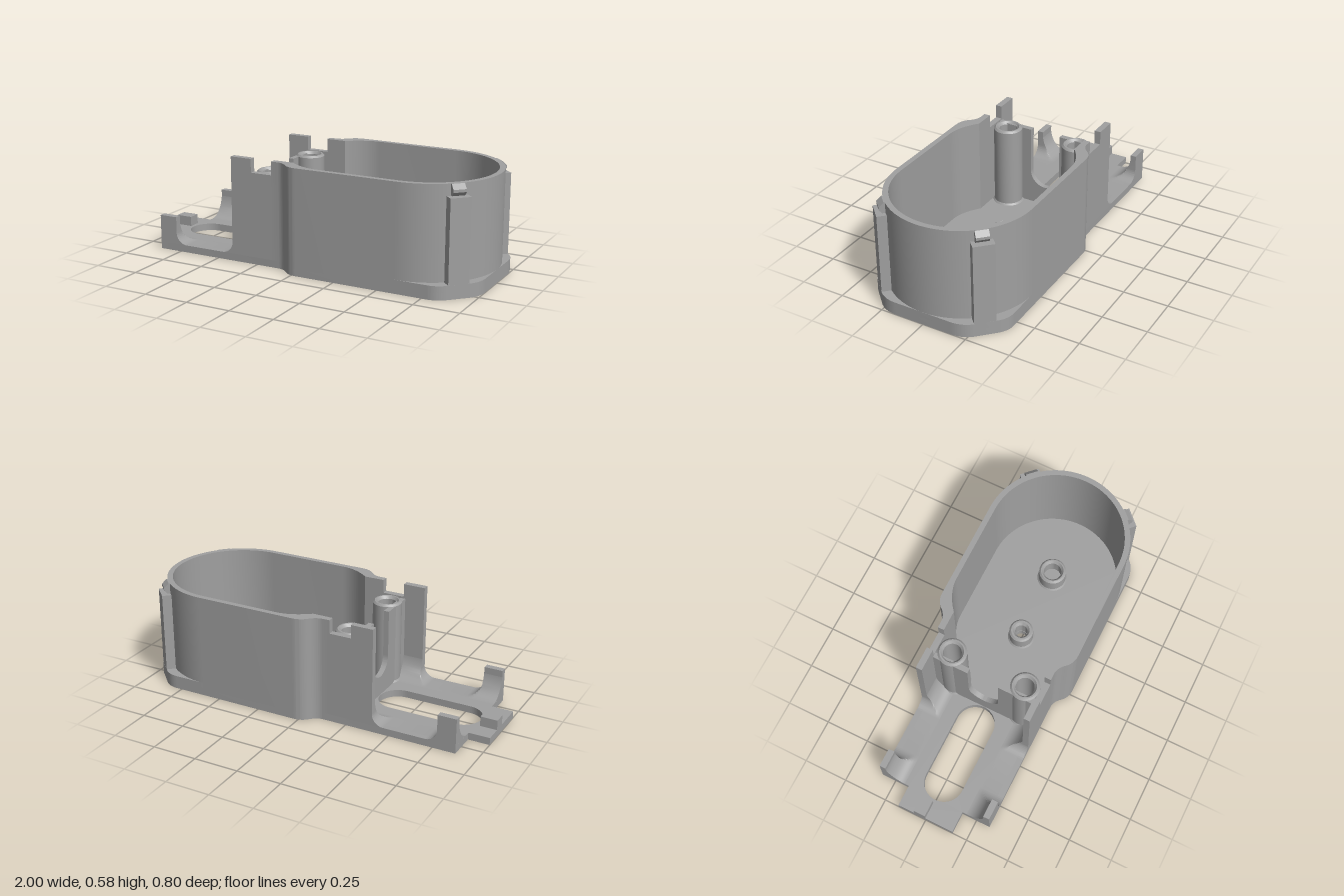
import * as THREE from 'three';
import { toCreasedNormals } from 'three/addons/utils/BufferGeometryUtils.js';

const FLOOR = 0.04, TOP = 0.585;

export function createModel() {
  const model = new THREE.Group();
  const grey = new THREE.MeshStandardMaterial({ color: 0xa0a0a0, side: THREE.DoubleSide });
  grey.name = 'plastic grey';

  const add = (name, geometry, parent = model) => {
    const mesh = new THREE.Mesh(toCreasedNormals(geometry, 0.5), grey);
    mesh.name = name;
    parent.add(mesh);
    return mesh;
  };
  const poly = (pts) => new THREE.Shape(pts.map(([x, y]) => new THREE.Vector2(x, y)));
  const extrude = (shape, depth) =>
    new THREE.ExtrudeGeometry(shape, { depth, bevelEnabled: false, curveSegments: 32 });
  // plan shape (x, z) raised from y0 to y1
  const plan = (shape, y0, y1) => extrude(shape, y1 - y0).rotateX(Math.PI / 2).translate(0, y1, 0);

  // floor plate with tab, oval opening and screw hole
  const base = new THREE.Shape();
  base.moveTo(-1, -0.165);
  for (const [x, z] of [[-0.88, -0.165], [-0.88, -0.33], [-0.12, -0.33]]) base.lineTo(x, z);
  base.quadraticCurveTo(-0.08, -0.33, -0.05, -0.365);
  base.quadraticCurveTo(-0.02, -0.4, 0.03, -0.4);
  base.lineTo(0.78, -0.4);
  base.quadraticCurveTo(0.834, -0.4, 0.874, -0.36);
  base.lineTo(0.954, -0.28);
  base.quadraticCurveTo(1, -0.234, 1, -0.16);
  base.lineTo(1, 0.16);
  base.quadraticCurveTo(1, 0.234, 0.954, 0.28);
  base.lineTo(0.874, 0.36);
  base.quadraticCurveTo(0.834, 0.4, 0.78, 0.4);
  base.lineTo(0.03, 0.4);
  base.quadraticCurveTo(-0.02, 0.4, -0.05, 0.365);
  base.quadraticCurveTo(-0.08, 0.33, -0.12, 0.33);
  for (const [x, z] of [[-0.88, 0.33], [-0.88, 0.165], [-1, 0.165]]) base.lineTo(x, z);
  const oval = new THREE.Path();
  oval.absarc(-0.775, 0, 0.11, Math.PI / 2, Math.PI * 1.5);
  oval.absarc(-0.403, 0, 0.11, -Math.PI / 2, Math.PI / 2);
  base.holes.push(oval, new THREE.Path().absarc(0.18, 0, 0.033, 0, Math.PI * 2));
  add('floor', plan(base, 0, FLOOR));

  // flange around the round end
  const flange = new THREE.Shape();
  flange.moveTo(0.6, -0.4);
  flange.lineTo(0.78, -0.4);
  flange.quadraticCurveTo(0.834, -0.4, 0.874, -0.36);
  flange.lineTo(0.954, -0.28);
  flange.quadraticCurveTo(1, -0.234, 1, -0.16);
  flange.lineTo(1, 0.16);
  flange.quadraticCurveTo(1, 0.234, 0.954, 0.28);
  flange.lineTo(0.874, 0.36);
  flange.quadraticCurveTo(0.834, 0.4, 0.78, 0.4);
  flange.lineTo(0.6, 0.4);
  flange.lineTo(0.6, 0.38);
  flange.absarc(0.6, 0, 0.38, Math.PI / 2, -Math.PI / 2, true);
  add('flange', plan(flange, FLOOR, 0.075));

  // tall curved housing wall, open to the left
  const wall = new THREE.Shape();
  wall.moveTo(-0.155, -0.33);
  wall.lineTo(-0.12, -0.33);
  wall.quadraticCurveTo(-0.08, -0.33, -0.05, -0.365);
  wall.quadraticCurveTo(-0.02, -0.4, 0.03, -0.4);
  wall.absarc(0.6, 0, 0.4, -Math.PI / 2, Math.PI / 2);
  wall.lineTo(0.03, 0.4);
  wall.quadraticCurveTo(-0.02, 0.4, -0.05, 0.365);
  wall.quadraticCurveTo(-0.08, 0.33, -0.12, 0.33);
  wall.lineTo(-0.155, 0.33);
  wall.lineTo(-0.155, 0.295);
  wall.lineTo(-0.04, 0.295);
  wall.quadraticCurveTo(0.05, 0.37, 0.14, 0.37);
  wall.absarc(0.6, 0, 0.37, Math.PI / 2, -Math.PI / 2, true);
  wall.lineTo(0.14, -0.37);
  wall.quadraticCurveTo(0.05, -0.37, -0.04, -0.295);
  wall.lineTo(-0.155, -0.295);
  add('housingWall', plan(wall, FLOOR, TOP));

  // cross wall with a U-shaped opening
  const cross = new THREE.Shape();
  cross.moveTo(-0.3, FLOOR);
  for (const [z, y] of [[0.3, FLOOR], [0.3, 0.5], [0.09, 0.5], [0.09, 0.24]]) cross.lineTo(z, y);
  cross.absarc(0, 0.24, 0.09, 0, -Math.PI, true);
  cross.lineTo(-0.09, 0.5);
  cross.lineTo(-0.3, 0.5);
  add('crossWall', extrude(cross, 0.03).rotateY(Math.PI / 2).translate(-0.29, 0, 0));

  // side plates: end post and notched wall
  const post = poly([[-0.71, FLOOR], [-0.88, FLOOR], [-0.88, 0.195], [-0.775, 0.195]]);
  post.lineTo(-0.775, 0.105);
  post.absarc(-0.71, 0.105, 0.065, Math.PI, Math.PI * 1.5);
  const notched = poly([[-0.155, FLOOR], [-0.155, 0.51], [-0.28, 0.51], [-0.28, TOP], [-0.405, TOP]]);
  notched.lineTo(-0.405, 0.105);
  notched.absarc(-0.47, 0.105, 0.065, 0, -Math.PI / 2, true);

  // cradle fillet: height is the lower of the hollow curve and the side cut-out
  const cradle = (side) => {
    const cols = [[-0.88, FLOOR], [-0.88, 1], [-0.775, 1]];
    for (let i = 0; i <= 8; i++) {
      const a = (i / 8) * Math.PI / 2;
      cols.push([-0.71 - 0.065 * Math.cos(a), 0.105 - 0.065 * Math.sin(a)]);
    }
    for (let i = 8; i >= 0; i--) {
      const a = (i / 8) * Math.PI / 2;
      cols.push([-0.47 + 0.065 * Math.cos(a), 0.105 - 0.065 * Math.sin(a)]);
    }
    cols.push([-0.405, 1], [-0.29, 1]);
    const n = 16, pos = [], index = [];
    cols.forEach(([x, cut], c) => {
      for (let j = 0; j <= n; j++) {
        const a = (j / n) * Math.PI / 2;
        const hollow = FLOOR + 0.145 * (1 - Math.cos(a));
        pos.push(x, Math.min(hollow, cut) + 0.0005, side * (0.19 + 0.107 * Math.sin(a)));
        if (c && j) {
          const d = c * (n + 1) + j, e = d - n - 1;
          if (side > 0) index.push(e - 1, e, d, e - 1, d, d - 1);
          else index.push(e - 1, d, e, e - 1, d - 1, d);
        }
      }
    });
    const g = new THREE.BufferGeometry();
    g.setAttribute('position', new THREE.Float32BufferAttribute(pos, 3));
    g.setIndex(index);
    g.computeVertexNormals();
    return g;
  };

  // hollow round boss with chamfered mouth
  const boss = (name, x, z, r, hole, height, bottom) => {
    const pts = [[r + 0.008, FLOOR], [r, FLOOR + 0.01], [r, height - 0.01], [r - 0.01, height],
      [hole + 0.012, height], [hole, height - 0.015], [hole, bottom]];
    if (bottom > 0.001) pts.push([0, bottom]);
    add(name, new THREE.LatheGeometry(pts.map((p) => new THREE.Vector2(...p)), 32).translate(x, 0, z));
  };
  boss('throughBoss', 0.18, 0, 0.068, 0.035, 0.14, 0);
  boss('blindBoss', 0.59, 0, 0.078, 0.05, 0.14, 0.05);

  for (const side of [1, -1]) {
    const label = side > 0 ? 'left' : 'right';
    const z0 = side > 0 ? 0.295 : -0.33;
    add(label + 'EndPost', extrude(post, 0.035).translate(0, 0, z0));
    add(label + 'NotchedWall', extrude(notched, 0.035).translate(0, 0, z0));
    add(label + 'Cradle', cradle(side));
    boss(label + 'ScrewPost', -0.22, side * 0.215, 0.08, 0.05, 0.51, 0.1);

    // diagonal rib and snap nub on the rounded corner
    const corner = new THREE.Group();
    corner.name = label + 'CornerClip';
    corner.position.set(0.6, 0, 0);
    corner.rotation.y = -side * Math.PI / 4;
    model.add(corner);
    add('rib', new THREE.BoxGeometry(0.068, 0.45, 0.113).translate(0.414, 0.298, 0), corner);
    const nub = poly([[0.385, 0.525], [0.415, 0.525], [0.431, 0.545], [0.431, 0.56], [0.405, TOP], [0.385, TOP]]);
    add('nub', extrude(nub, 0.07).translate(0, 0, -0.035), corner);
  }

  // catch on the end tab
  add('tabCatch', new THREE.BoxGeometry(0.095, 0.055, 0.068).translate(-0.9525, 0.0675, -0.034));
  return model;
}
